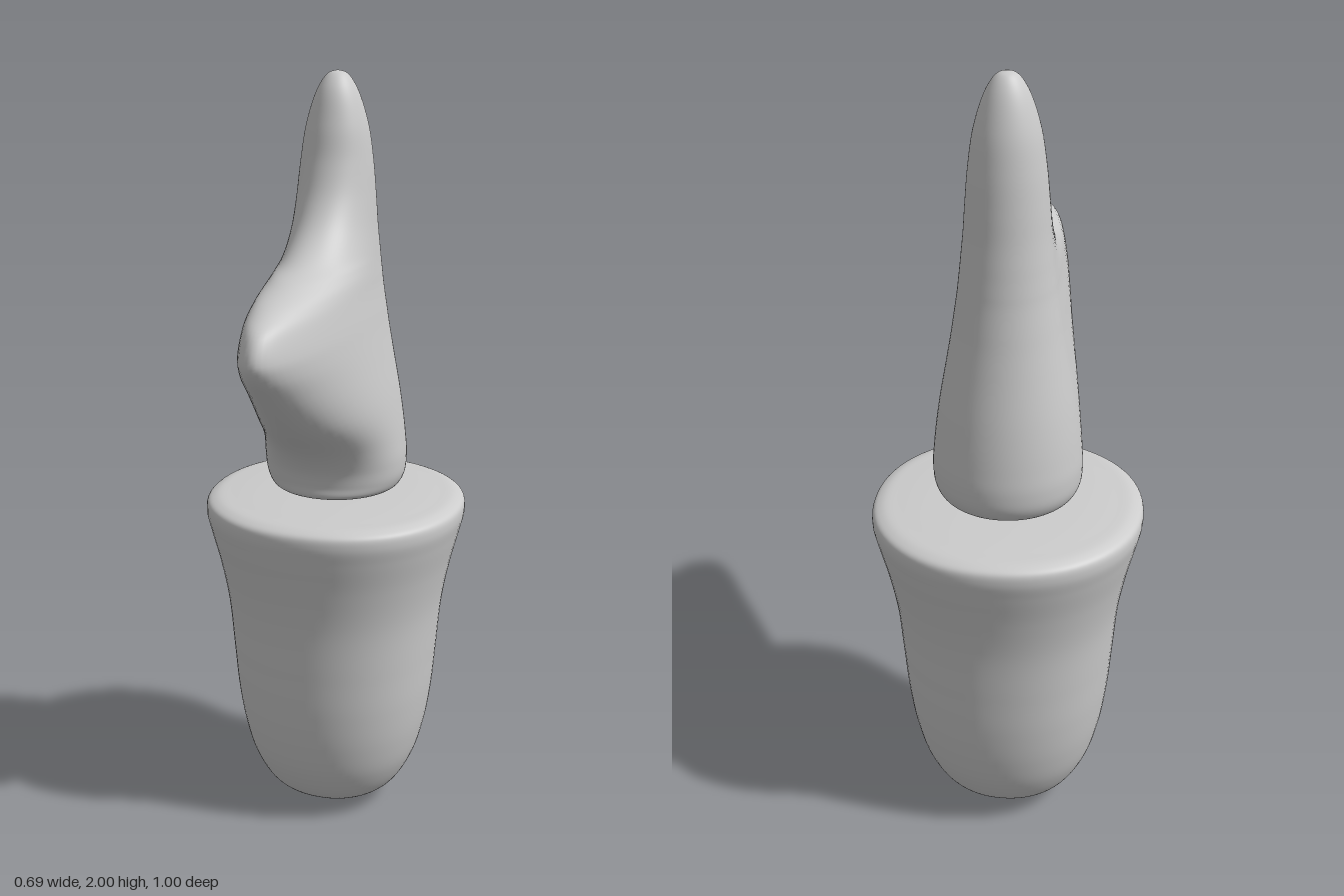
import * as THREE from 'three';

const AXIS_Z = -0.155; // both bodies share this upright axis

// Stacked rings from stations [half width, y, front reach]; the back stays round.
// A squareness above 2 makes each ring slightly boxy.
function loft(name, stations, squareness) {
  const rings = new THREE.CatmullRomCurve3(
    stations.map(([w, y, reach = w]) => new THREE.Vector3(w, y, reach))
  ).getPoints(128);
  const sides = 72;
  const positions = [];
  const indices = [];
  const bend = (v) => Math.sign(v) * Math.abs(v) ** (2 / squareness);

  rings.forEach((ring, i) => {
    const w = Math.max(0, ring.x);
    const front = Math.max(0, ring.z);
    for (let j = 0; j < sides; j++) {
      const a = (j / sides) * Math.PI * 2;
      const s = bend(Math.sin(a));
      positions.push(w * bend(Math.cos(a)), ring.y, AXIS_Z + s * (s > 0 ? front : w));
      if (i === rings.length - 1) continue;
      const p = i * sides + j;
      const q = i * sides + ((j + 1) % sides);
      indices.push(p, p + sides, q, q, p + sides, q + sides);
    }
  });

  const geometry = new THREE.BufferGeometry();
  geometry.setAttribute('position', new THREE.Float32BufferAttribute(positions, 3));
  geometry.setIndex(indices);
  geometry.computeVertexNormals();
  const mesh = new THREE.Mesh(geometry, new THREE.MeshStandardMaterial({ color: 0xcccccc }));
  mesh.name = name;
  return mesh;
}

export function createModel() {
  const model = new THREE.Group();
  model.name = 'peg';

  // Rounded, flaring lower body with a nearly flat top
  model.add(loft('lowerBody', [
    [0, 0.003], [0.05, 0.006], [0.11, 0.022], [0.175, 0.065], [0.22, 0.14],
    [0.247, 0.23], [0.265, 0.34], [0.276, 0.46], [0.289, 0.6], [0.31, 0.71],
    [0.333, 0.8], [0.344, 0.85], [0.341, 0.877], [0.32, 0.891], [0.27, 0.897],
    [0.15, 0.902], [0, 0.903],
  ], 2.12));

  // Tapered head whose front swells into a long pointed snout
  model.add(loft('headWithSnout', [
    [0, 0.907], [0.08, 0.908], [0.135, 0.914], [0.168, 0.928], [0.183, 0.955, 0.171],
    [0.188, 1.0, 0.185], [0.184, 1.06, 0.235], [0.17, 1.17, 0.4], [0.149, 1.29, 0.555],
    [0.137, 1.36, 0.636], [0.131, 1.4, 0.655], [0.122, 1.46, 0.627], [0.118, 1.495, 0.555],
    [0.114, 1.53, 0.4], [0.111, 1.56, 0.285], [0.105, 1.62, 0.19], [0.1, 1.69, 0.135],
    [0.092, 1.78, 0.1], [0.078, 1.87, 0.08], [0.05, 1.955, 0.053], [0.024, 1.992], [0, 2.0],
  ], 2));

  return model;
}
